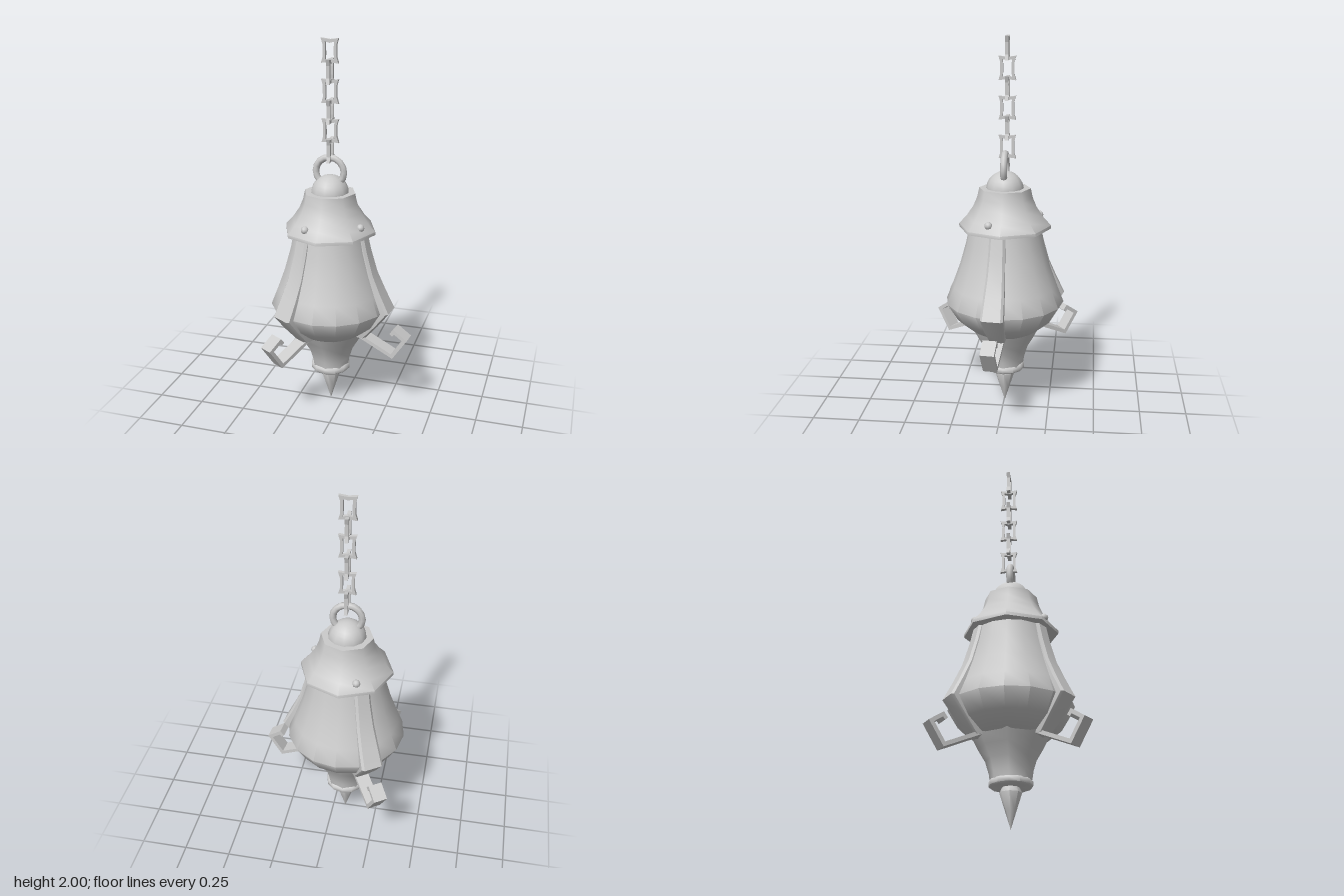
import * as THREE from 'three';
import { toCreasedNormals, mergeVertices } from 'three/addons/utils/BufferGeometryUtils.js';

const material = new THREE.MeshStandardMaterial({ color: 0xcccccc, side: THREE.DoubleSide });

function add(parent, name, geometry, x = 0, y = 0, z = 0) {
  const mesh = new THREE.Mesh(geometry, material);
  mesh.name = name;
  mesh.position.set(x, y, z);
  parent.add(mesh);
  return mesh;
}

// turned part from [radius, height] pairs, bottom to top
function turned(profile, sides, crease = 0.9) {
  const points = profile.map(([r, y]) => new THREE.Vector2(r, y));
  return toCreasedNormals(new THREE.LatheGeometry(points, sides), crease);
}

// skin between cross-sections (arrays of [x, y, z]) with capped ends
function loft(sections, crease) {
  const n = sections[0].length;
  const index = [];
  for (let i = 0; i < sections.length - 1; i++) {
    for (let j = 0; j < n; j++) {
      const a = i * n + j, b = i * n + (j + 1) % n;
      index.push(a, b, a + n, b, b + n, a + n);
    }
  }
  const last = (sections.length - 1) * n;
  for (let j = 1; j < n - 1; j++) {
    index.push(0, j + 1, j, last, last + j, last + j + 1);
  }
  const geometry = new THREE.BufferGeometry();
  geometry.setAttribute('position', new THREE.Float32BufferAttribute(sections.flat(2), 3));
  geometry.setIndex(index);
  return toCreasedNormals(mergeVertices(geometry), crease);
}

// rib following the body: stations of [outer radius, height, half width]
function ribGeometry() {
  const stations = [
    [0.195, 1.03, 0.042], [0.22, 0.92, 0.044], [0.255, 0.8, 0.049],
    [0.3, 0.7, 0.055], [0.35, 0.6, 0.06], [0.29, 0.52, 0.055], [0.215, 0.43, 0.04],
  ];
  return loft(stations.map(([r, y, w]) => [
    [r - 0.07, y, -w], [r - 0.012, y, -w], [r, y, -w + 0.012],
    [r, y, w - 0.012], [r - 0.012, y, w], [r - 0.07, y, w],
  ]), 0.7);
}

// flat strip bent into a hook, mitred at each corner
function hookGeometry() {
  const path = [[0.17, 0.445], [0.368, 0.352], [0.437, 0.457], [0.378, 0.498], [0.362, 0.478]]
    .map(([x, y]) => new THREE.Vector2(x, y));
  const half = 0.01, w = 0.037;
  const normal = (a, b) => new THREE.Vector2(a.y - b.y, b.x - a.x).normalize();
  return loft(path.map((p, i) => {
    const before = normal(path[Math.max(i - 1, 0)], path[Math.max(i, 1)]);
    const after = normal(path[Math.min(i, path.length - 2)], path[Math.min(i + 1, path.length - 1)]);
    const miter = before.clone().add(after).normalize();
    miter.multiplyScalar(half / miter.dot(before));
    return [
      [p.x + miter.x, p.y + miter.y, -w], [p.x + miter.x, p.y + miter.y, w],
      [p.x - miter.x, p.y - miter.y, w], [p.x - miter.x, p.y - miter.y, -w],
    ];
  }), 0.5);
}

// rectangular chain link with pinched long sides
function linkGeometry() {
  const outline = (w, h, waist) => [
    [-w, -h], [0, -h + 0.006], [w, -h], [waist, -h * 0.5], [waist, h * 0.5],
    [w, h], [0, h - 0.006], [-w, h], [-waist, h * 0.5], [-waist, -h * 0.5],
  ].map(([x, y]) => new THREE.Vector2(x, y));
  const shape = new THREE.Shape(outline(0.045, 0.061, 0.036));
  shape.holes.push(new THREE.Path(outline(0.024, 0.044, 0.022)));
  const geometry = new THREE.ExtrudeGeometry(shape, { depth: 0.018, bevelEnabled: false });
  return geometry.translate(0, 0, -0.009);
}

export function createModel() {
  const model = new THREE.Group();
  model.name = 'hangingLantern';
  const lantern = new THREE.Group();
  lantern.name = 'lantern';
  lantern.position.set(-0.07, 0, -0.004);
  model.add(lantern);

  // body and stacked turned parts
  add(lantern, 'body', turned([
    [0, 0.44], [0.18, 0.44], [0.265, 0.51], [0.318, 0.6], [0.282, 0.69],
    [0.242, 0.8], [0.208, 0.92], [0.185, 1.04],
  ], 16));
  add(lantern, 'cap', turned([
    [0.17, 1.005], [0.245, 1.005], [0.245, 1.022], [0.205, 1.065],
    [0.168, 1.12], [0.147, 1.17], [0.136, 1.22], [0, 1.22],
  ], 8));
  add(lantern, 'dome', new THREE.SphereGeometry(0.1, 12, 8, 0, Math.PI * 2, 0, Math.PI / 2), 0, 1.21);
  add(lantern, 'funnel', turned([
    [0, 0.22], [0.1, 0.22], [0.107, 0.27], [0.125, 0.33], [0.16, 0.39], [0.19, 0.45], [0, 0.45],
  ], 8));
  add(lantern, 'collar', turned([
    [0, 0.2], [0.1, 0.2], [0.108, 0.207], [0.108, 0.228], [0.1, 0.236], [0, 0.236],
  ], 12));
  add(lantern, 'spike', turned([[0, 0], [0.028, 0.09], [0.055, 0.175], [0.042, 0.205]], 8));

  // ribs, each ending in a hook
  const rib = ribGeometry(), hook = hookGeometry();
  [6, 121, 236].forEach((degrees) => {
    const arm = new THREE.Group();
    arm.name = 'arm';
    arm.rotation.y = -THREE.MathUtils.degToRad(degrees);
    lantern.add(arm);
    add(arm, 'rib', rib);
    add(arm, 'hook', hook);
  });

  // cap rivets
  const rivet = new THREE.SphereGeometry(0.021, 8, 6);
  [20, 114, 246].forEach((degrees) => {
    const a = THREE.MathUtils.degToRad(degrees);
    add(lantern, 'rivet', rivet, 0.195 * Math.cos(a), 1.06, 0.195 * Math.sin(a));
  });

  // hanging ring and chain
  add(lantern, 'ring', new THREE.TorusGeometry(0.075, 0.018, 8, 16), 0, 1.327);
  const link = linkGeometry();
  for (let i = 0; i < 6; i++) {
    const mesh = add(lantern, 'chainLink', link, 0, 1.439 + i * 0.1, -0.012);
    mesh.rotation.y = i % 2 === 0 ? Math.PI / 2 : 0;
  }
  return model;
}
